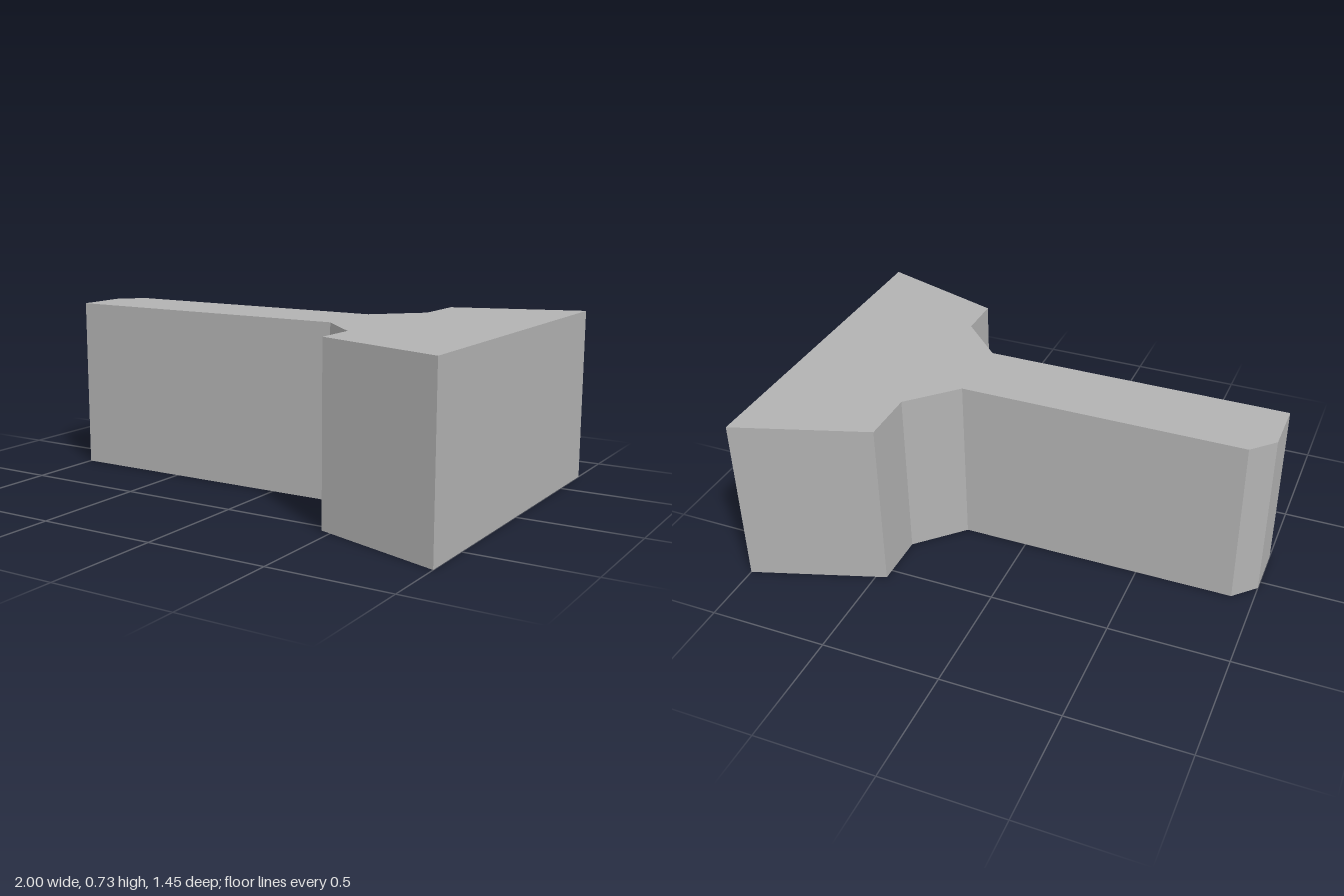
import * as THREE from 'three';

const HEIGHT = 0.727;

// Plan outline as [x, z] corners
const OUTLINE = [
  [-1, 0.18], [0.273, 0.18], [0.455, 0.362], [0.455, 0.545], // front side of web and flange
  [1, 0.727], [1, -0.727],                                   // wide outer face
  [0.455, -0.547], [0.455, -0.312], [0.273, -0.13],          // back side of flange
  [-0.91, -0.13], [-1, -0.04],                               // web end with one chamfered corner
];

export function createModel() {
  const group = new THREE.Group();
  group.name = 'tProfile';
  const grey = new THREE.MeshStandardMaterial({ color: 0xb3b3b3 });
  grey.name = 'grey';

  // Whole bar: the plan outline extruded straight up
  const shape = new THREE.Shape(OUTLINE.map(([x, z]) => new THREE.Vector2(x, -z)));
  const geometry = new THREE.ExtrudeGeometry(shape, { depth: HEIGHT, bevelEnabled: false });
  geometry.rotateX(-Math.PI / 2);

  const bar = new THREE.Mesh(geometry, grey);
  bar.name = 'taperedTeeBar';
  group.add(bar);
  return group;
}
